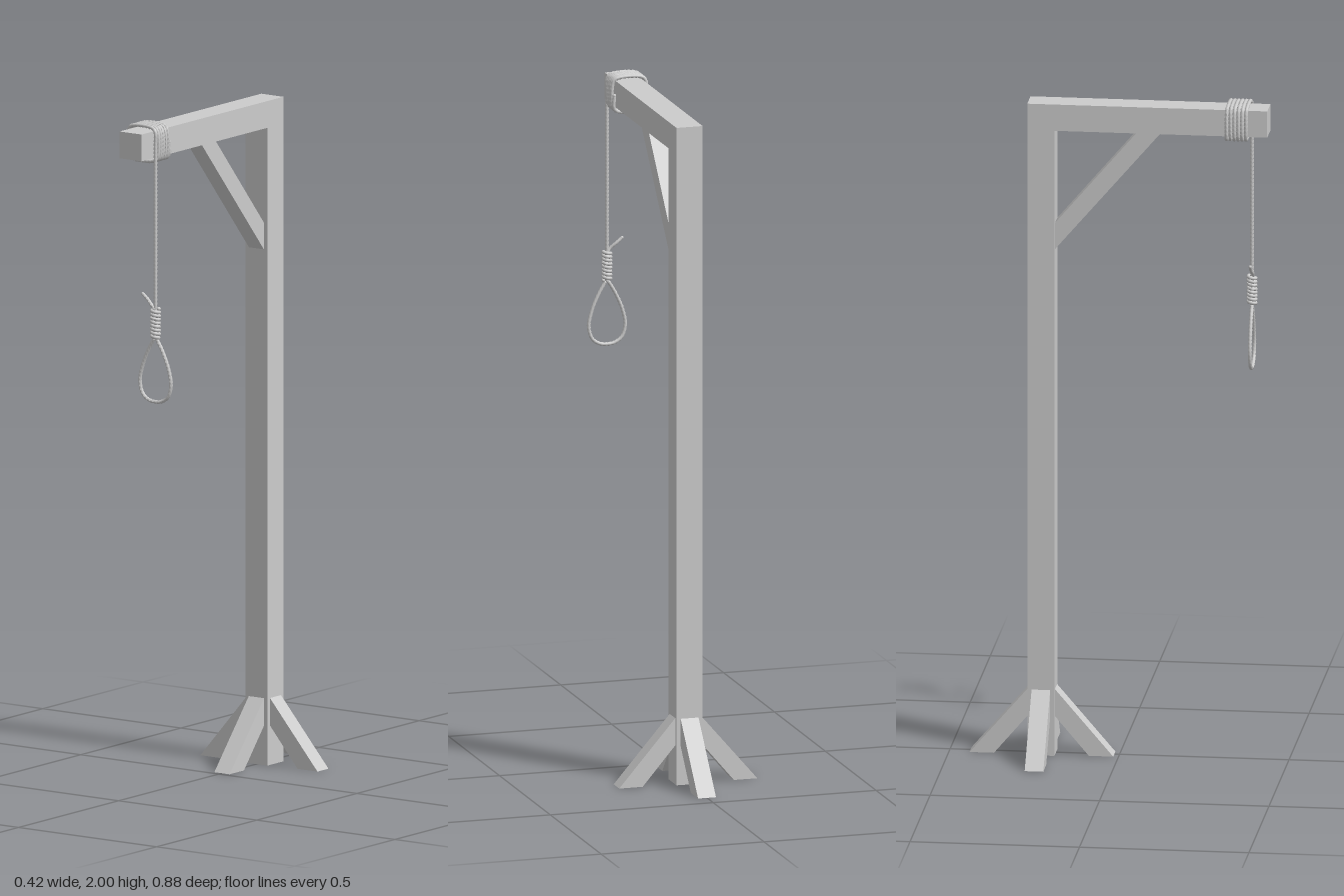
import * as THREE from 'three';

const V = (x, y, z) => new THREE.Vector3(x, y, z);
const POST_Z = -0.2275, BEAM_Y = 1.945, ROPE_X = 0.05, ROPE_Z = 0.385;

const wood = new THREE.MeshStandardMaterial({ color: 0xcccccc, flatShading: true });
const fibre = new THREE.MeshStandardMaterial({ color: 0xcccccc });

function box(name, w, h, d, x, y, z) {
  const mesh = new THREE.Mesh(new THREE.BoxGeometry(w, h, d), wood);
  mesh.name = name;
  mesh.position.set(x, y, z);
  return mesh;
}

// Flat outline of a mitred timber, extruded to its width and centred
function timber(name, outline, width) {
  const shape = new THREE.Shape(outline.map(([x, y]) => new THREE.Vector2(x, y)));
  const geo = new THREE.ExtrudeGeometry(shape, { depth: width, bevelEnabled: false });
  geo.translate(0, 0, -width / 2);
  const mesh = new THREE.Mesh(geo, wood);
  mesh.name = name;
  return mesh;
}

// Three-strand rope: a tube whose lobed section twists along the path
function rope(name, points, radius, closed = false) {
  const curve = new THREE.CatmullRomCurve3(points, closed, 'centripetal');
  curve.arcLengthDivisions = points.length * 20;
  const length = curve.getLength();
  const rings = Math.ceil(length / 0.003), sides = 10;
  const geo = new THREE.TubeGeometry(curve, rings, radius, sides, closed);
  const pos = geo.attributes.position, p = V(0, 0, 0), c = V(0, 0, 0);
  for (let i = 0; i <= rings; i++) {
    curve.getPointAt(i / rings, c);
    const twist = (i / rings) * Math.round(length / 0.036) * Math.PI * 2;
    for (let j = 0; j <= sides; j++) {
      const k = i * (sides + 1) + j;
      const lobe = 0.86 + 0.16 * Math.cos(3 * (j / sides) * Math.PI * 2 - 3 * twist);
      p.fromBufferAttribute(pos, k).sub(c).multiplyScalar(lobe).add(c);
      pos.setXYZ(k, p.x, p.y, p.z);
    }
  }
  geo.computeVertexNormals();
  const group = new THREE.Group();
  group.name = name;
  group.add(new THREE.Mesh(geo, fibre));
  // Rounded rope ends
  if (!closed) {
    for (const end of [points[0], points[points.length - 1]]) {
      const cap = new THREE.Mesh(new THREE.SphereGeometry(radius * 0.9, 10, 6), fibre);
      cap.position.copy(end);
      group.add(cap);
    }
  }
  return group;
}

export function createModel() {
  const model = new THREE.Group();

  // Post, beam and diagonal brace
  model.add(box('post', 0.08, 1.905, 0.08, 0, 0.9525, POST_Z));
  model.add(box('beam', 0.08, 0.08, 0.708, 0, BEAM_Y, 0.0865));
  const brace = timber('brace', [[-0.188, 1.54], [0.125, 1.905], [0.055, 1.905], [-0.188, 1.62]], 0.054);
  brace.rotation.y = -Math.PI / 2;
  model.add(brace);

  // Four slanted feet around the post
  const feet = new THREE.Group();
  feet.name = 'feet';
  feet.position.z = POST_Z;
  for (let i = 0; i < 4; i++) {
    const foot = timber('foot', [[0.04, 0.118], [0.14, 0], [0.212, 0], [0.04, 0.2]], 0.055);
    foot.rotation.y = i * Math.PI / 2;
    feet.add(foot);
  }
  model.add(feet);

  // Rope wound round the beam, then hanging straight down
  const h = 0.049, c = 0.038, turns = 6;
  const corners = [[h, -c], [c, -h], [-c, -h], [-h, -c], [-h, c], [-c, h], [c, h], [h, c]];
  const wound = [V(h, BEAM_Y, 0.316)];
  for (let t = 0; t < turns; t++) {
    corners.forEach(([x, y], i) => {
      wound.push(V(x, BEAM_Y + y, 0.316 + (ROPE_Z - 0.316) * (t + (i + 0.5) / 8) / turns));
    });
  }
  wound.push(V(ROPE_X, BEAM_Y, ROPE_Z), V(ROPE_X, 1.88, ROPE_Z), V(ROPE_X, 1.65, ROPE_Z), V(ROPE_X, 1.37, ROPE_Z));
  model.add(rope('hangingRope', wound, 0.006));

  // Wrapped knot
  const knot = [];
  for (let i = 0; i <= 8 * 8; i++) {
    const a = (i / 8) * Math.PI * 2;
    knot.push(V(ROPE_X + 0.011 * Math.cos(a), 1.372 + 0.086 * i / 64, ROPE_Z + 0.011 * Math.sin(a)));
  }
  model.add(rope('knot', knot, 0.006));

  // Teardrop loop below the knot
  const half = [[0.006, 1.365], [0.024, 1.335], [0.046, 1.285], [0.056, 1.235], [0.045, 1.198], [0.022, 1.182]];
  const loop = [
    ...half.map(([x, y]) => V(ROPE_X + x, y, ROPE_Z)),
    V(ROPE_X, 1.179, ROPE_Z),
    ...half.slice().reverse().map(([x, y]) => V(ROPE_X - x, y, ROPE_Z)),
  ];
  model.add(rope('loop', loop, 0.006));

  // Loose tail above the knot
  model.add(rope('tail', [V(0.052, 1.45, ROPE_Z), V(0.04, 1.466, ROPE_Z + 0.004), V(0.022, 1.482, ROPE_Z), V(0.004, 1.497, ROPE_Z)], 0.0055));

  return model;
}
